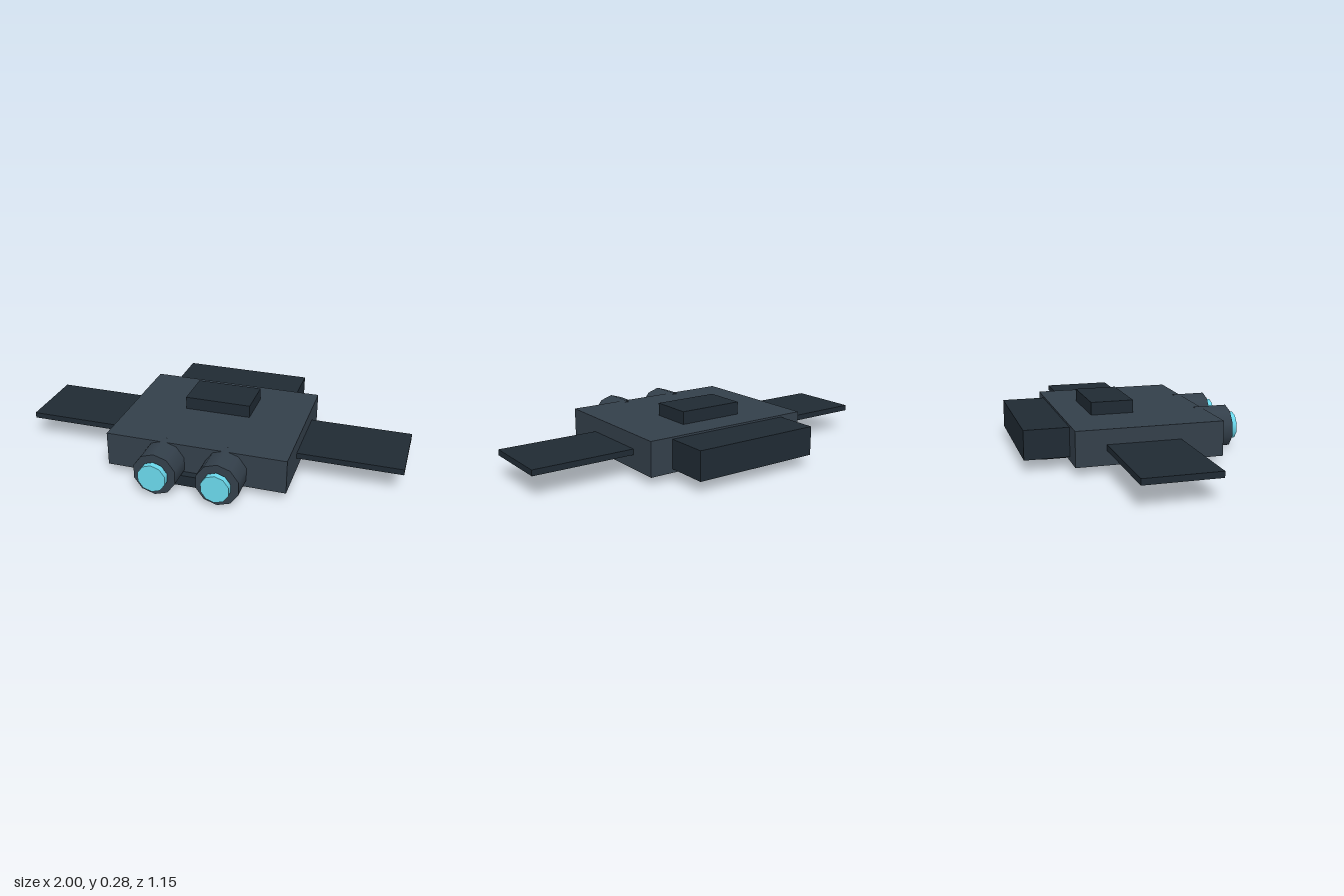
import * as THREE from 'three';

const hullMat = new THREE.MeshStandardMaterial({ color: 0x333f4a });
const darkMat = new THREE.MeshStandardMaterial({ color: 0x1f2a33 });
const glowMat = new THREE.MeshStandardMaterial({ color: 0x6ad8ec });

// Box given by its [min, max] range on each axis
function box(name, mat, [x0, x1], [y0, y1], [z0, z1]) {
  const mesh = new THREE.Mesh(new THREE.BoxGeometry(x1 - x0, y1 - y0, z1 - z0), mat);
  mesh.position.set((x0 + x1) / 2, (y0 + y1) / 2, (z0 + z1) / 2);
  mesh.name = name;
  return mesh;
}

// Ten-sided cylinder lying along z
function barrel(name, mat, radius, x, [z0, z1]) {
  const geometry = new THREE.CylinderGeometry(radius, radius, z1 - z0, 10).rotateX(Math.PI / 2);
  const mesh = new THREE.Mesh(geometry, mat);
  mesh.position.set(x, 0.112, (z0 + z1) / 2);
  mesh.name = name;
  return mesh;
}

export function createModel() {
  const model = new THREE.Group();
  model.name = 'craft';

  // Hull blocks
  model.add(
    box('hull', hullMat, [-0.467, 0.467], [0.04, 0.219], [-0.35, 0.4]),
    box('rearBlock', darkMat, [-0.345, 0.345], [0.06, 0.209], [-0.575, -0.34]),
    box('topHatch', darkMat, [-0.175, 0.175], [0.21, 0.285], [-0.2, 0.021]),
    box('bellyKeel', darkMat, [-0.19, 0.19], [0.01, 0.068], [-0.46, 0.44])
  );

  // Wings, barrels and lamps, mirrored
  for (const [side, s] of [['left', 1], ['right', -1]]) {
    const span = s > 0 ? [0.45, 1] : [-1, -0.45];
    model.add(
      box(side + 'Wing', darkMat, span, [0.113, 0.143], [-0.195, 0.18]),
      barrel(side + 'Barrel', hullMat, 0.112, s * 0.16, [0.362, 0.538]),
      barrel(side + 'Lamp', glowMat, 0.073, s * 0.16, [0.545, 0.578])
    );
  }
  return model;
}
